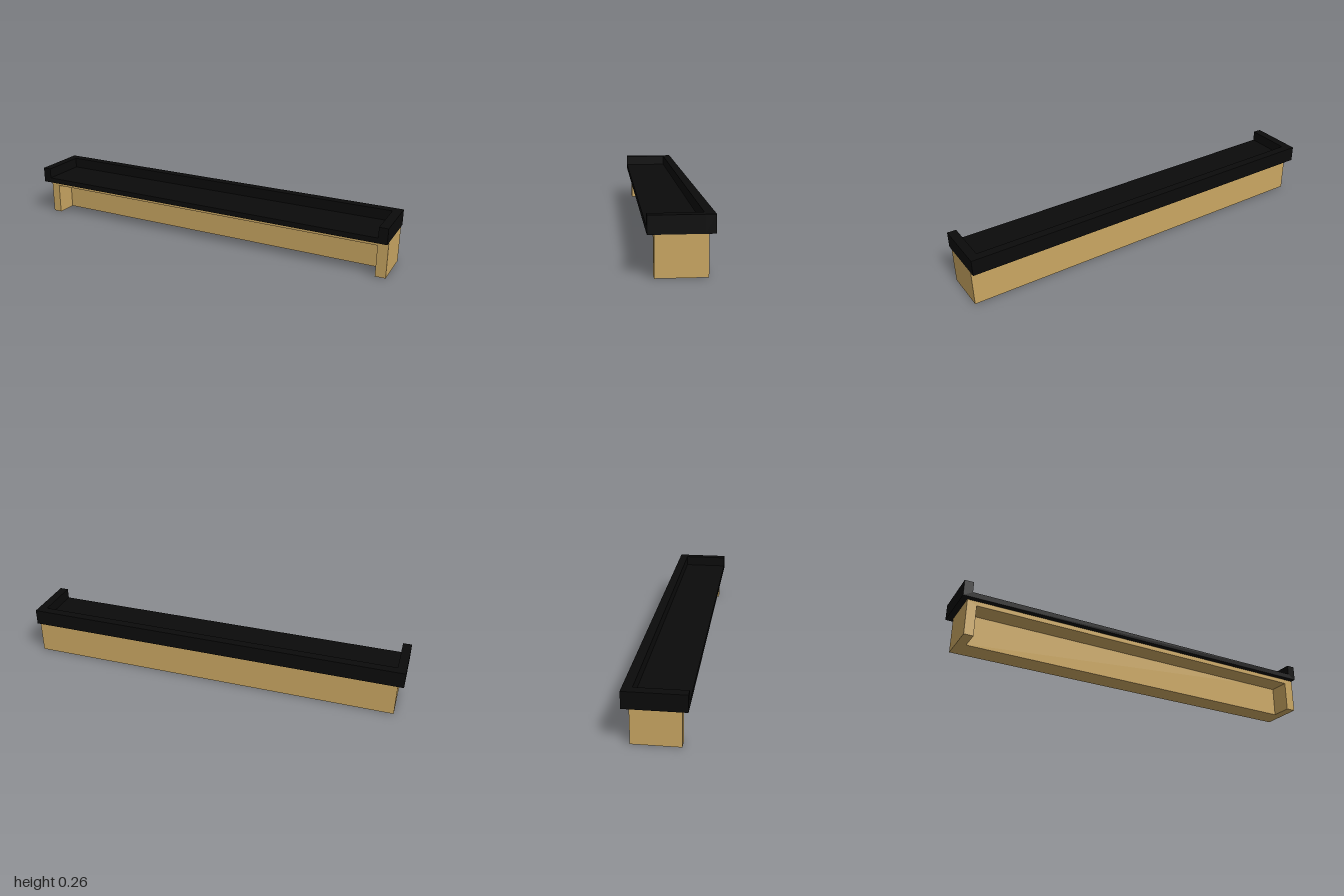
import * as THREE from 'three';

const wood = new THREE.MeshStandardMaterial({ color: 0xc9a662 });
const black = new THREE.MeshStandardMaterial({ color: 0x0b0b0b });

// Box given by its minimum and maximum corners
function box(name, material, [x0, y0, z0], [x1, y1, z1]) {
  const mesh = new THREE.Mesh(new THREE.BoxGeometry(x1 - x0, y1 - y0, z1 - z0), material);
  mesh.position.set((x0 + x1) / 2, (y0 + y1) / 2, (z0 + z1) / 2);
  mesh.name = name;
  return mesh;
}

// Front-facing outline extruded from z0 to z1
function slab(name, material, points, z0, z1) {
  const shape = new THREE.Shape(points.map(([x, y]) => new THREE.Vector2(x, y)));
  const geometry = new THREE.ExtrudeGeometry(shape, { depth: z1 - z0, bevelEnabled: false });
  geometry.translate(0, 0, z0);
  const mesh = new THREE.Mesh(geometry, material);
  mesh.name = name;
  return mesh;
}

export function createModel() {
  const model = new THREE.Group();
  model.name = 'wallShelf';

  // Wooden base: thick back beam, with end legs and a thin top board in front
  const base = new THREE.Group();
  base.name = 'woodenBase';
  const left = -0.97, right = 1, top = 0.183, depth = 0.113, beamFront = 0.004;
  base.add(box('backBeam', wood, [left, 0, -depth], [right, top, beamFront]));
  base.add(slab('frontFrame', wood, [
    [left, 0], [-0.923, 0], [-0.923, 0.16], [0.948, 0.16],
    [0.948, 0], [right, 0], [right, top], [left, top],
  ], beamFront, depth));

  // Black tray: raised back and ends, open at the front
  const tray = new THREE.Group();
  tray.name = 'tray';
  const rim = 0.264, floor = 0.21, wall = 0.045, half = 0.142;
  tray.add(box('trayBack', black, [-1, top, -half], [1, rim, -half + wall]));
  tray.add(slab('trayFloorAndEnds', black, [
    [-1, top], [1, top], [1, rim], [1 - wall, rim],
    [1 - wall, floor], [-1 + wall, floor], [-1 + wall, rim], [-1, rim],
  ], -half + wall, half));

  model.add(base, tray);
  return model;
}
